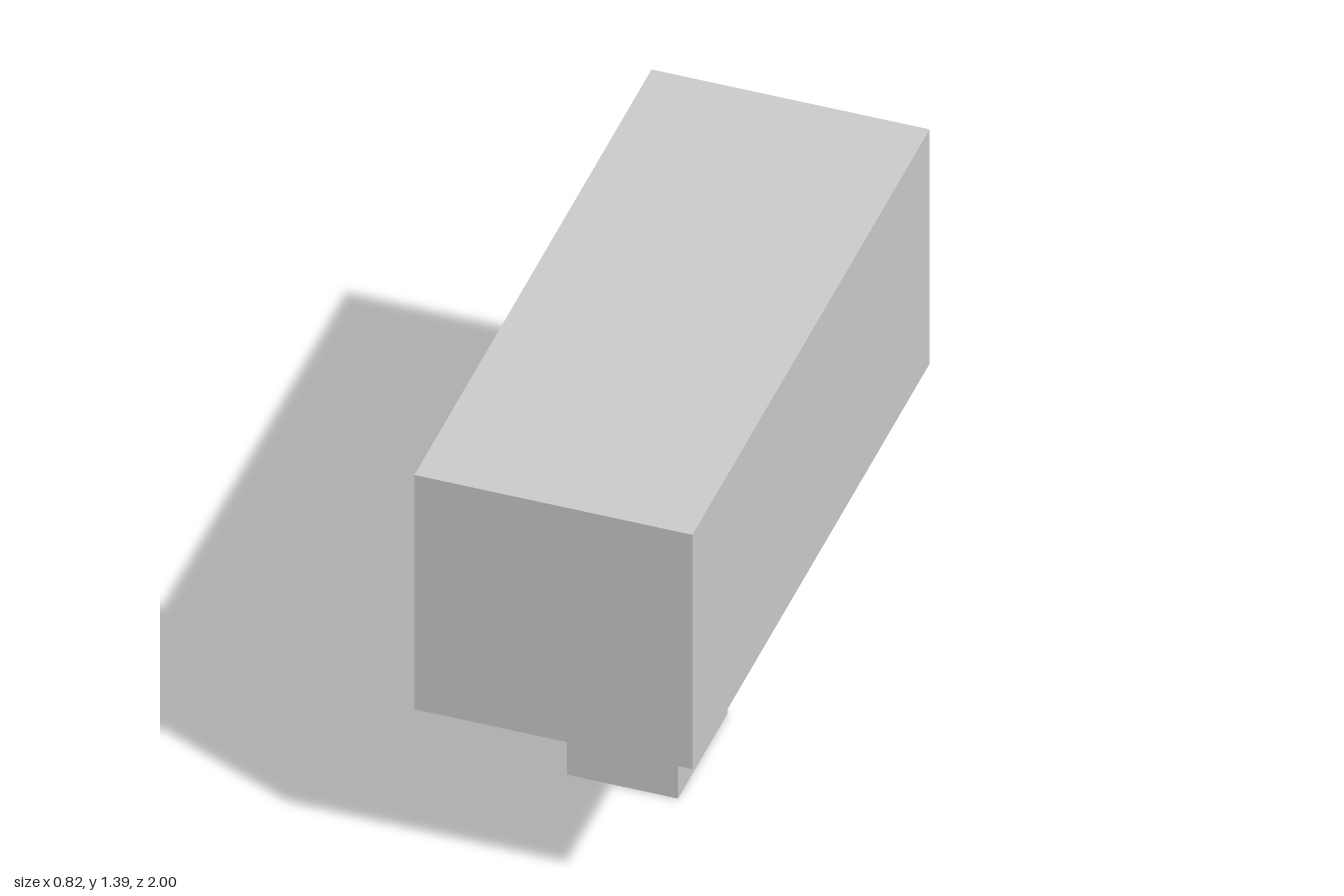
import * as THREE from 'three';

const material = new THREE.MeshStandardMaterial({ color: 0xcccccc, flatShading: true });

// Box given by its half width and its y and z ranges
function block(name, halfWidth, [y0, y1], [z0, z1]) {
  const mesh = new THREE.Mesh(new THREE.BoxGeometry(2 * halfWidth, y1 - y0, z1 - z0), material);
  mesh.name = name;
  mesh.position.set(0, (y0 + y1) / 2, (z0 + z1) / 2);
  return mesh;
}

export function createModel() {
  const group = new THREE.Group();
  group.name = 'boxOnHandle';
  group.add(
    block('body', 0.408, [0.575, 1.39], [-0.96, 1]),
    block('handle', 0.163, [0, 0.575], [0.022, 0.43]),
    block('backPlate', 0.245, [0.737, 1.227], [-1, -0.96]),
  );
  return group;
}
